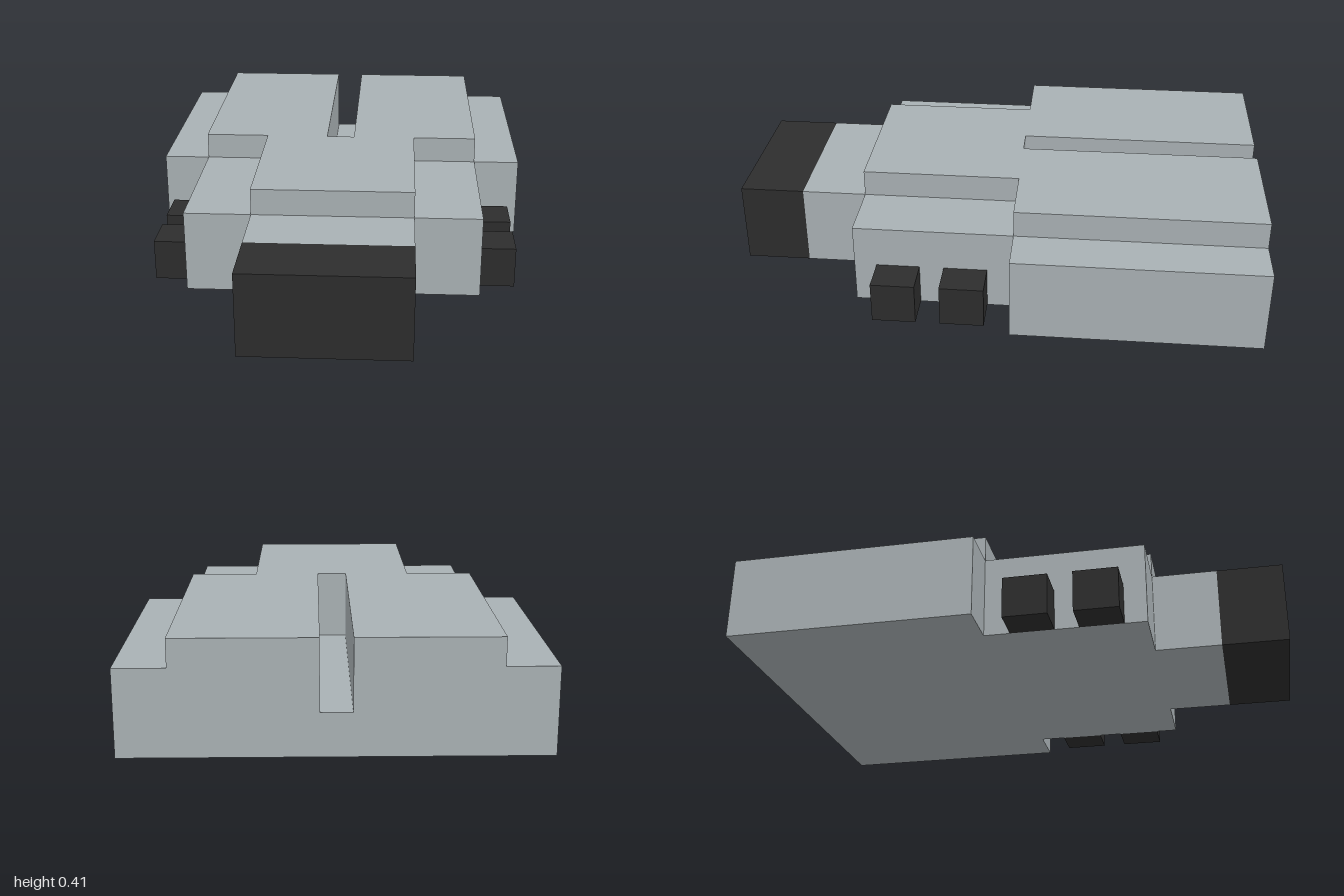
import * as THREE from 'three';

export function createModel() {
  const model = new THREE.Group();
  model.name = 'vehicle';
  const grey = new THREE.MeshStandardMaterial({ color: 0xa9b1b4 });
  grey.name = 'hull grey';
  const black = new THREE.MeshStandardMaterial({ color: 0x2d2d2d });
  black.name = 'dark trim';

  function add(name, geometry, material) {
    const mesh = new THREE.Mesh(geometry, material);
    mesh.name = name;
    model.add(mesh);
  }

  // Box given by its limits on each axis
  function box(name, [x0, x1], [y0, y1], [z0, z1], material) {
    const g = new THREE.BoxGeometry(x1 - x0, y1 - y0, z1 - z0);
    g.translate((x0 + x1) / 2, (y0 + y1) / 2, (z0 + z1) / 2);
    add(name, g, material);
  }

  // Mirrored cross-section (right-hand half listed bottom to top) run along z
  function section(name, half, z0, z1, material) {
    const mirrored = half.map(([x, y]) => [-x, y]).reverse();
    const shape = new THREE.Shape([...half, ...mirrored].map(([x, y]) => new THREE.Vector2(x, y)));
    const g = new THREE.ExtrudeGeometry(shape, { depth: z1 - z0, bevelEnabled: false });
    g.translate(0, 0, z0);
    add(name, g, material);
  }

  const shoulder = 0.31, roof = 0.41, low = 0.155;
  const seam = -0.085, front = 0.51;

  // Wide rear hull with a central slot open at the back
  section('rearHull', [[0.73, 0], [0.73, shoulder], [0.55, shoulder], [0.55, roof],
    [0.055, roof], [0.055, low]], -1, seam, grey);

  // Middle hull with a narrower raised roof
  section('middleHull', [[0.55, 0], [0.55, shoulder], [0.3, shoulder], [0.3, roof]], seam, front, grey);

  // Neck and dark nose block
  box('neck', [-0.3, 0.3], [0, shoulder], [front, 0.755], grey);
  box('nose', [-0.3, 0.3], [0, shoulder], [0.755, 1], black);

  // Two small blocks on each side
  for (const [row, z] of [['rear', [0.012, 0.175]], ['front', [0.265, 0.427]]]) {
    box(row + 'LeftBlock', [0.55, 0.685], [0, low], z, black);
    box(row + 'RightBlock', [-0.685, -0.55], [0, low], z, black);
  }
  return model;
}
